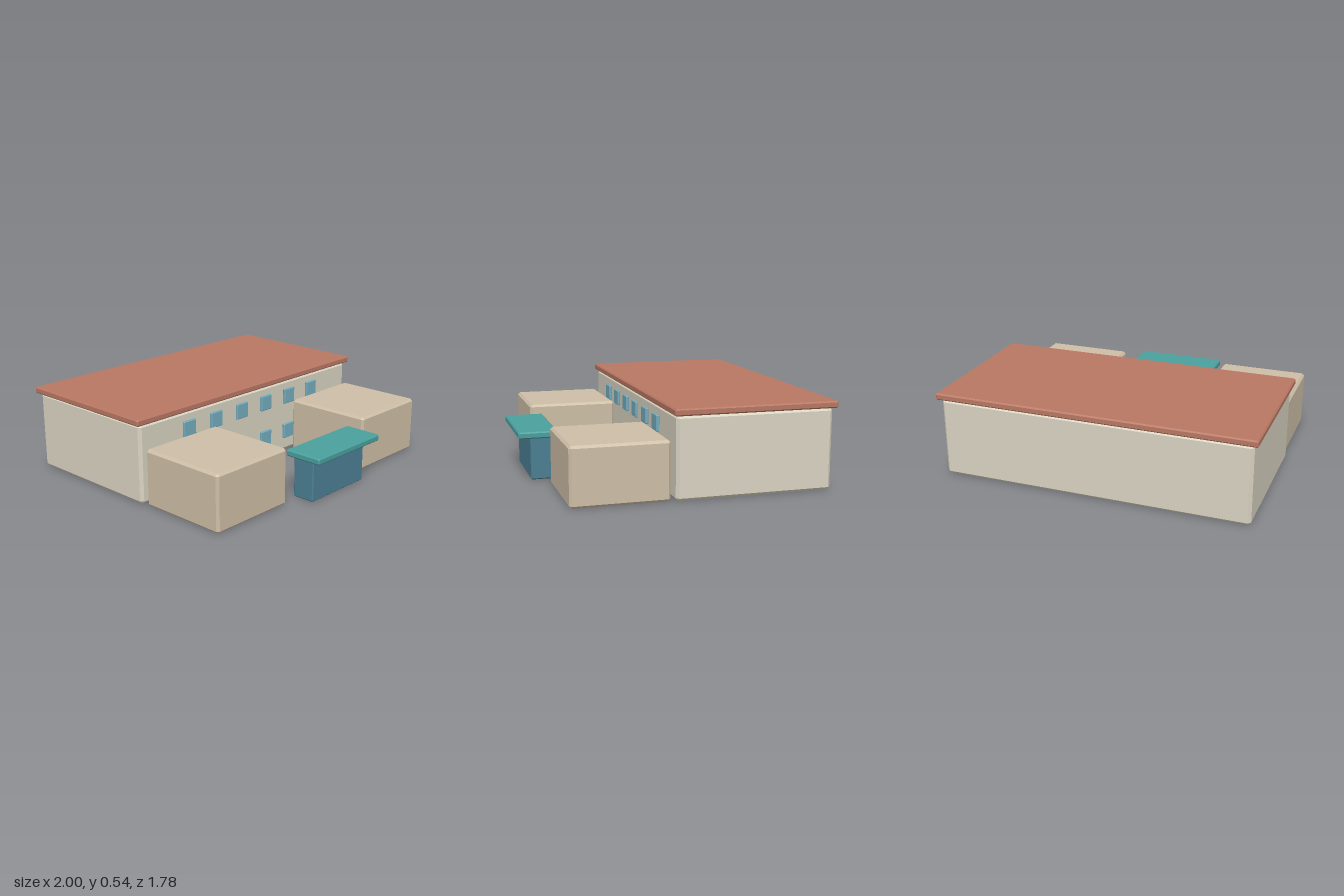
import * as THREE from 'three';
import { ConvexGeometry } from 'three/addons/geometries/ConvexGeometry.js';

// Box with flat chamfers on every edge, given by its min/max extents
function chamferBox(name, color, [x0, x1], [y0, y1], [z0, z1], c) {
  const h = [(x1 - x0) / 2, (y1 - y0) / 2, (z1 - z0) / 2];
  const points = [];
  for (const sx of [-1, 1]) for (const sy of [-1, 1]) for (const sz of [-1, 1]) {
    for (let axis = 0; axis < 3; axis++) {
      const p = h.map((v, i) => (i === axis ? v : v - c));
      points.push(new THREE.Vector3(sx * p[0], sy * p[1], sz * p[2]));
    }
  }
  const mesh = new THREE.Mesh(
    new ConvexGeometry(points),
    new THREE.MeshStandardMaterial({ color, flatShading: true })
  );
  mesh.position.set((x0 + x1) / 2, (y0 + y1) / 2, (z0 + z1) / 2);
  mesh.name = name;
  return mesh;
}

export function createModel() {
  const group = new THREE.Group();
  group.name = 'building';

  // Main block and its overhanging flat roof
  group.add(chamferBox('mainBlock', 0xd9d3c1, [-0.973, 0.973], [0, 0.5], [-0.87, 0.095], 0.018));
  group.add(chamferBox('roof', 0xb87763, [-1, 1], [0.5, 0.542], [-0.89, 0.113], 0.008));

  // Two projecting wings
  group.add(chamferBox('leftWing', 0xcdbea6, [0.373, 0.955], [0, 0.358], [0.12, 0.71], 0.015));
  group.add(chamferBox('rightWing', 0xcdbea6, [-0.955, -0.373], [0, 0.358], [0.12, 0.71], 0.015));

  // Entrance between the wings with a canopy
  group.add(chamferBox('entrance', 0x4b7e92, [-0.25, 0.25], [0, 0.272], [0.66, 0.81], 0.007));
  group.add(chamferBox('canopy', 0x4aa09e, [-0.3, 0.3], [0.27, 0.312], [0.64, 0.89], 0.008));

  // Two rows of six windows on the front wall
  const windows = new THREE.Group();
  windows.name = 'windows';
  for (const y of [0.145, 0.392]) {
    for (let i = 0; i < 6; i++) {
      const x = (i - 2.5) * 0.233;
      windows.add(chamferBox('window', 0x74abbc, [x - 0.05, x + 0.05], [y - 0.05, y + 0.05], [0.095, 0.115], 0.004));
    }
  }
  group.add(windows);
  return group;
}
